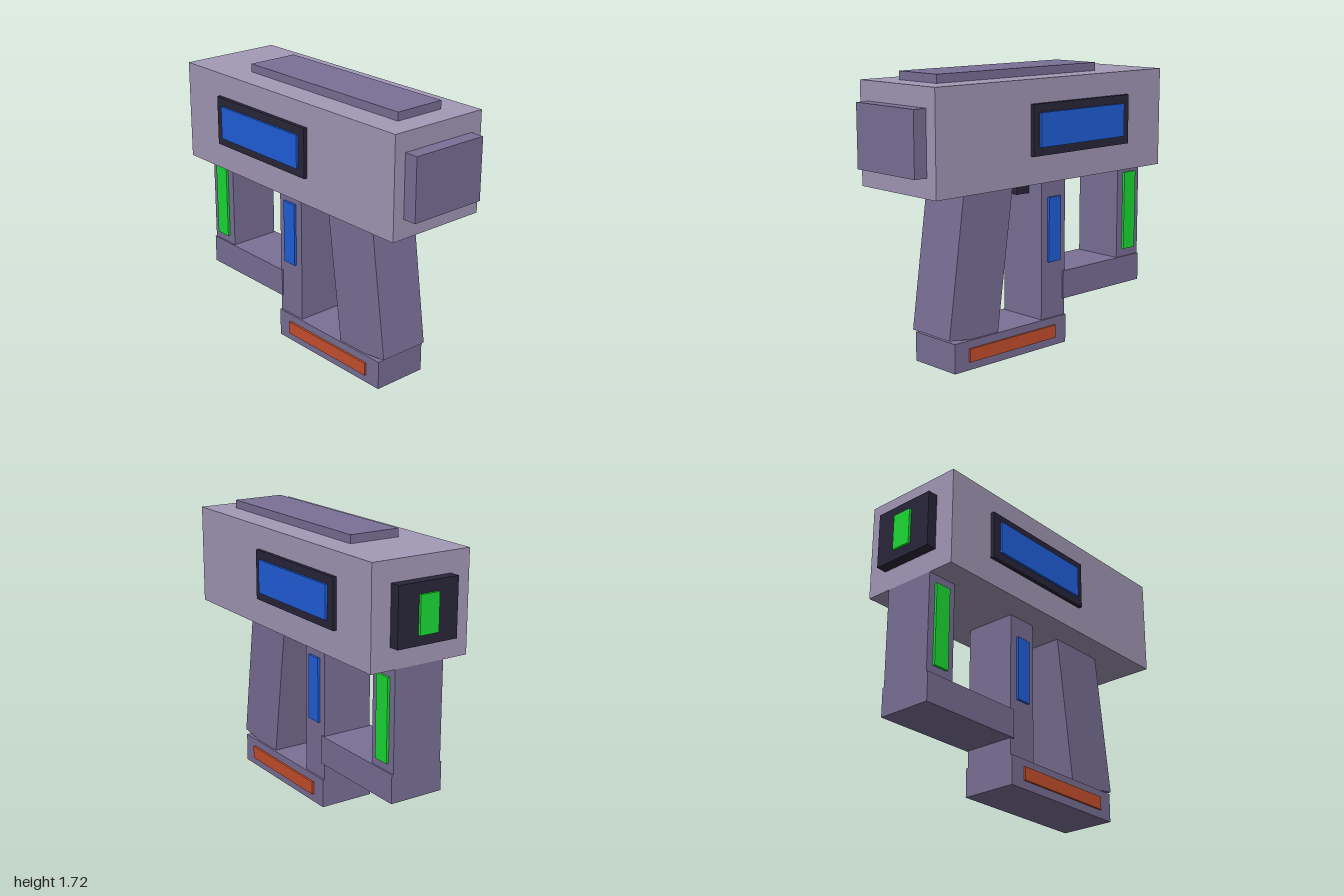
import * as THREE from 'three';

const mat = (color) => new THREE.MeshStandardMaterial({ color });

export function createModel() {
  const model = new THREE.Group();
  const shell = mat(0xa399b8), trim = mat(0x7a7096), dark = mat(0x29263a);
  const blue = mat(0x2060dd), green = mat(0x1bdc35), orange = mat(0xc8502d);

  // Box spanning x0..x1, y0..y1, z0..z1
  const box = (name, material, x0, x1, y0, y1, z0, z1) => {
    const mesh = new THREE.Mesh(new THREE.BoxGeometry(x1 - x0, y1 - y0, z1 - z0), material);
    mesh.position.set((x0 + x1) / 2, (y0 + y1) / 2, (z0 + z1) / 2);
    mesh.name = name;
    model.add(mesh);
    return mesh;
  };
  // Box centred on x = 0
  const mid = (name, material, half, ...span) => box(name, material, -half, half, ...span);
  // Thin panel on both flanks
  const pair = (name, material, inner, outer, ...span) => {
    box(name + 'Left', material, inner, outer, ...span);
    box(name + 'Right', material, -outer, -inner, ...span);
  };

  // Main housing with nose, top rail and rear panel
  mid('housing', shell, 0.325, 1.06, 1.665, -0.92, 0.915);
  mid('nosePlate', trim, 0.25, 1.175, 1.55, 0.9, 1.0);
  mid('topRail', trim, 0.163, 1.65, 1.715, -0.495, 0.765);
  mid('rearPanel', dark, 0.2, 1.19, 1.54, -0.985, -0.91);
  mid('rearLight', green, 0.063, 1.25, 1.475, -1.0, -0.975);

  // Side screens
  pair('screenFrame', dark, 0.315, 0.348, 1.225, 1.525, -0.6, 0.21);
  pair('screen', blue, 0.34, 0.362, 1.275, 1.475, -0.545, 0.16);

  // Slanted grip, trigger and foot
  const grip = mid('grip', trim, 0.163, 0.174, 1.174, 0.2525, 0.6275);
  grip.position.set(0, 0.669, 0.44);
  grip.rotation.x = THREE.MathUtils.degToRad(-8);
  mid('trigger', dark, 0.06, 0.95, 1.08, -0.035, 0.065);
  mid('foot', trim, 0.175, 0, 0.177, -0.24, 0.665);
  pair('footStripe', orange, 0.165, 0.188, 0.05, 0.13, -0.14, 0.56);

  // Middle post with side lights
  mid('middlePost', trim, 0.163, 0.17, 1.07, -0.24, -0.04);
  pair('middleLight', blue, 0.155, 0.178, 0.53, 0.93, -0.19, -0.09);

  // Rear arm and post with side lights
  mid('rearArm', trim, 0.173, 0.28, 0.455, -0.92, -0.22);
  mid('rearPost', trim, 0.163, 0.45, 1.06, -0.92, -0.72);
  pair('rearPostLight', green, 0.155, 0.178, 0.505, 1.005, -0.875, -0.77);

  return model;
}
